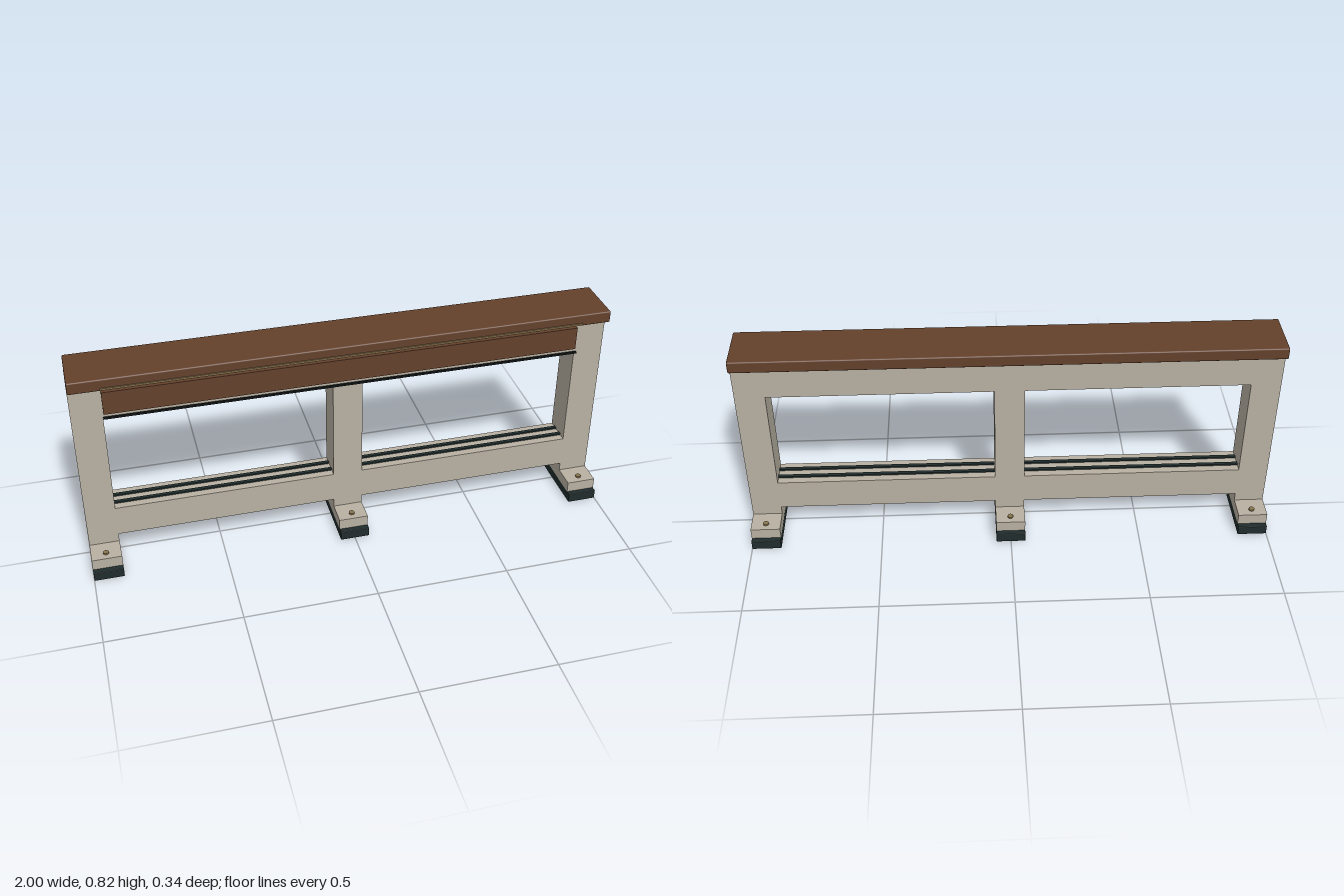
import * as THREE from 'three';
import { RoundedBoxGeometry } from 'three/addons/geometries/RoundedBoxGeometry.js';

const material = (name, color) => {
  const m = new THREE.MeshStandardMaterial({ color });
  m.name = name;
  return m;
};

export function createModel() {
  const stone = material('warm grey paint', 0xb9b1a3);
  const wood = material('brown wood', 0x63402b);
  const rubber = material('dark green rubber', 0x202c2c);
  const black = material('black trim', 0x141818);
  const brass = material('dull brass', 0x8a7650);

  const model = new THREE.Group();
  model.name = 'bench';

  // Adds a box given its extents on each axis; r rounds the edges
  const box = (name, mat, [x0, x1], [y0, y1], [z0, z1], r = 0) => {
    const size = [x1 - x0, y1 - y0, z1 - z0];
    const geometry = r ? new RoundedBoxGeometry(...size, 2, r) : new THREE.BoxGeometry(...size);
    const mesh = new THREE.Mesh(geometry, mat);
    mesh.name = name;
    mesh.position.set((x0 + x1) / 2, (y0 + y1) / 2, (z0 + z1) / 2);
    model.add(mesh);
  };

  // Frame silhouette with two window openings, extruded through its depth
  const depth = 0.058, half = 0.056, inner = 0.888;
  const outline = new THREE.Shape([
    [-1, 0.037], [-inner, 0.037], [-inner, 0.113], [-half, 0.113], [-half, 0.037],
    [half, 0.037], [half, 0.113], [inner, 0.113], [inner, 0.037], [1, 0.037],
    [1, 0.787], [-1, 0.787],
  ].map(([x, y]) => new THREE.Vector2(x, y)));
  for (const [a, b] of [[-inner, -half], [half, inner]]) {
    outline.holes.push(new THREE.Path([
      [a, 0.234], [a, 0.638], [b, 0.638], [b, 0.234],
    ].map(([x, y]) => new THREE.Vector2(x, y))));
    // Dark strips lying along the lower rail
    for (const z of [-0.022, 0.022]) {
      box('railStrip', rubber, [a, b], [0.23, 0.24], [z - 0.007, z + 0.007]);
    }
  }
  const frameGeometry = new THREE.ExtrudeGeometry(outline, { depth: 2 * depth, bevelEnabled: false });
  frameGeometry.translate(0, 0, -depth);
  const frame = new THREE.Mesh(frameGeometry, stone);
  frame.name = 'frame';
  model.add(frame);

  // Feet with pads and bolts
  for (const x of [-0.944, 0, 0.944]) {
    const span = [x - half, x + half];
    box('footPad', rubber, span, [0, 0.037], [-0.171, 0.171], 0.002);
    for (const s of [-1, 1]) {
      box('foot', stone, span, [0.036, 0.08], s > 0 ? [depth, 0.15] : [-0.15, -depth]);
      const bolt = new THREE.Mesh(new THREE.CylinderGeometry(0.011, 0.011, 0.008, 12), brass);
      bolt.name = 'footBolt';
      bolt.position.set(x, 0.082, s * 0.118);
      model.add(bolt);
    }
  }

  // Top board, front panel and trims
  box('topBoard', wood, [-0.999, 0.999], [0.776, 0.822], [-0.1, 0.1], 0.005);
  box('topTrim', brass, [-inner, inner], [0.781, 0.788], [0.098, 0.105]);
  box('frontPanel', wood, [-0.885, 0.885], [0.661, 0.752], [depth, 0.073]);
  box('panelTrim', black, [-inner, inner], [0.645, 0.652], [0.072, 0.08]);

  return model;
}
